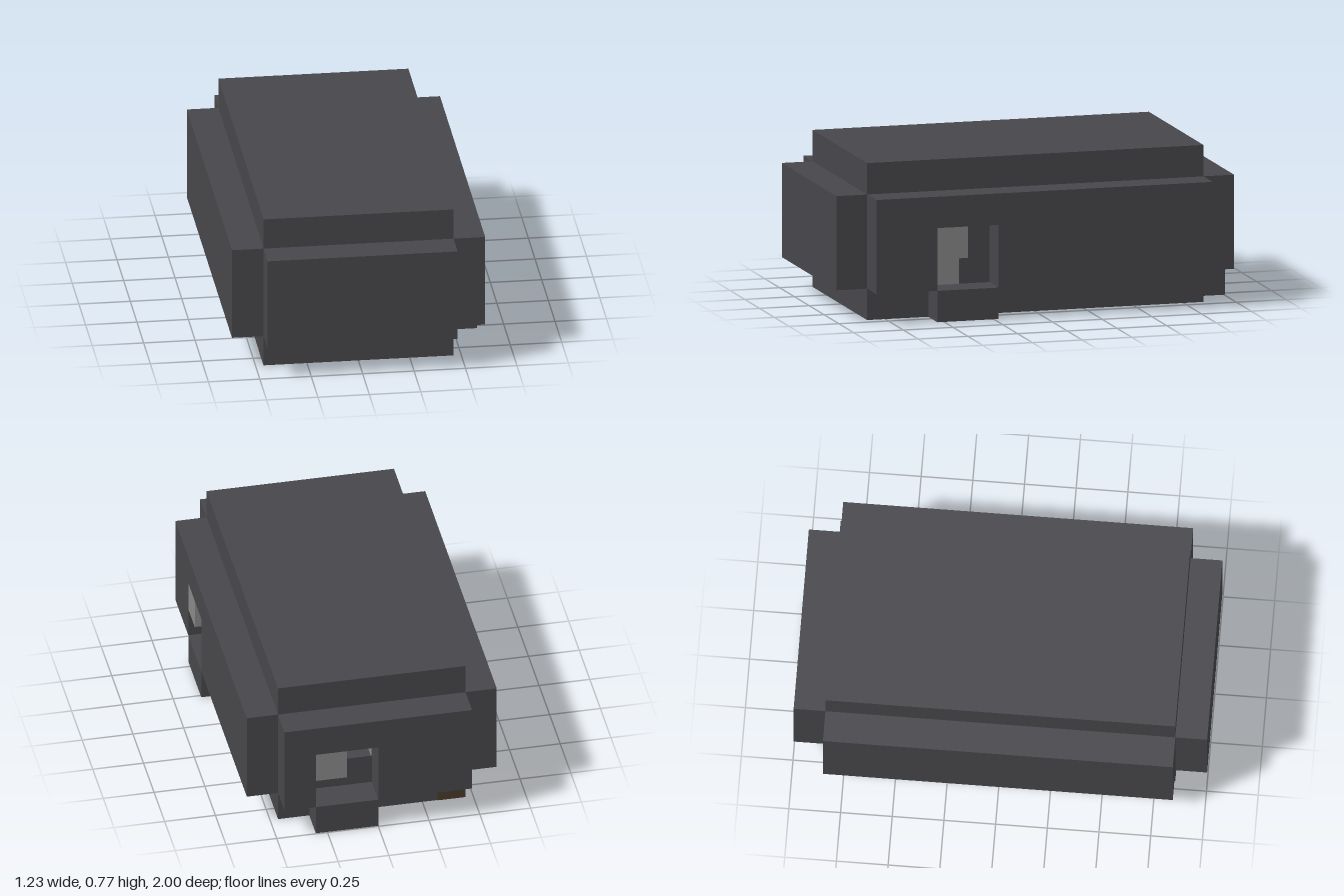
import * as THREE from 'three';

const U = 2 / 13; // one block

export function createModel() {
  const model = new THREE.Group();
  model.name = 'blockyBoulder';
  const mat = (name, color) => {
    const m = new THREE.MeshStandardMaterial({ color });
    m.name = name;
    return m;
  };
  const dark = mat('dark stone', 0x47474b);
  const grey = mat('grey stone', 0x888888);
  const brown = mat('brown earth', 0x4a3a2c);

  const add = (parent, name, geometry, material) => {
    const mesh = new THREE.Mesh(geometry, material);
    mesh.name = name;
    parent.add(mesh);
    return mesh;
  };
  // Box between two corners, in blocks
  const box = (parent, name, material, [x0, y0, z0], [x1, y1, z1]) =>
    add(parent, name, new THREE.BoxGeometry(x1 - x0, y1 - y0, z1 - z0), material)
      .position.set((x0 + x1) / 2, (y0 + y1) / 2, (z0 + z1) / 2);
  const rectangle = (x0, y0, x1, y1) =>
    [[x0, y0], [x1, y0], [x1, y1], [x0, y1]].map(p => new THREE.Vector2(...p));
  const slab = (points, hole) => {
    const shape = new THREE.Shape(points);
    if (hole) shape.holes.push(new THREE.Path(hole));
    return new THREE.ExtrudeGeometry(shape, { depth: 1, bevelEnabled: false });
  };

  // Core, with a small pocket in its rear layer
  box(model, 'core', dark, [-3, 0, -4.5], [3, 5, 5.5]);
  add(model, 'coreRear', slab(rectangle(-3, 0, 3, 5), rectangle(0, 2, 1, 3)), dark)
    .position.z = -5.5;
  box(model, 'pocketGreyWall', grey, [0, 2, -5.5], [0.03, 3, -4.5]);
  box(model, 'pocketBrownWall', brown, [0.97, 2, -5.5], [1, 3, -4.5]);

  // Side panels; u is the left edge of the window and of the foot below it
  const panels = [
    { name: 'frontPanel', half: 3, out: 5.5, turn: 0 },
    { name: 'leftPanel', half: 5.5, out: 3, turn: Math.PI / 2, u: -3.5 },
    { name: 'backPanel', half: 3, out: 5.5, turn: Math.PI, u: -2 },
    { name: 'rightPanel', half: 5.5, out: 3, turn: -Math.PI / 2 },
  ];
  for (const { name, half, out, turn, u } of panels) {
    const group = new THREE.Group();
    group.name = name;
    group.rotation.y = turn;
    model.add(group);
    let points = rectangle(-half, 1, half, 4);
    let hole;
    if (u !== undefined) {
      const foot = [[u, 1], [u, 0], [u + 2, 0], [u + 2, 1]].map(p => new THREE.Vector2(...p));
      points = [points[0], ...foot, ...points.slice(1)];
      hole = rectangle(u, 1, u + 2, 3);
      box(group, 'greyBlock', grey, [u, 2, out], [u + 1, 3, out + 1]);
    }
    add(group, 'panel', slab(points, hole), dark).position.z = out;
  }
  box(model, 'recessedGreyFace', grey, [3, 1, 2.5], [3.03, 2, 3.5]);

  // Earth patches along the lower edge
  box(model, 'rearPatch', brown, [-3, 0, -5.52], [-2.1, 1, -5.5]);
  box(model, 'middlePatch', brown, [-3, -0.02, -0.7], [-2.1, 0, 0.7]);
  box(model, 'frontPatch', brown, [-3, -0.02, 4.2], [-2.1, 0, 5.4]);
  box(model, 'sidePatch', brown, [-3.02, 0, -0.7], [-3, 0.6, 0.7]);

  model.scale.setScalar(U);
  const root = new THREE.Group();
  root.add(model);
  return root;
}
